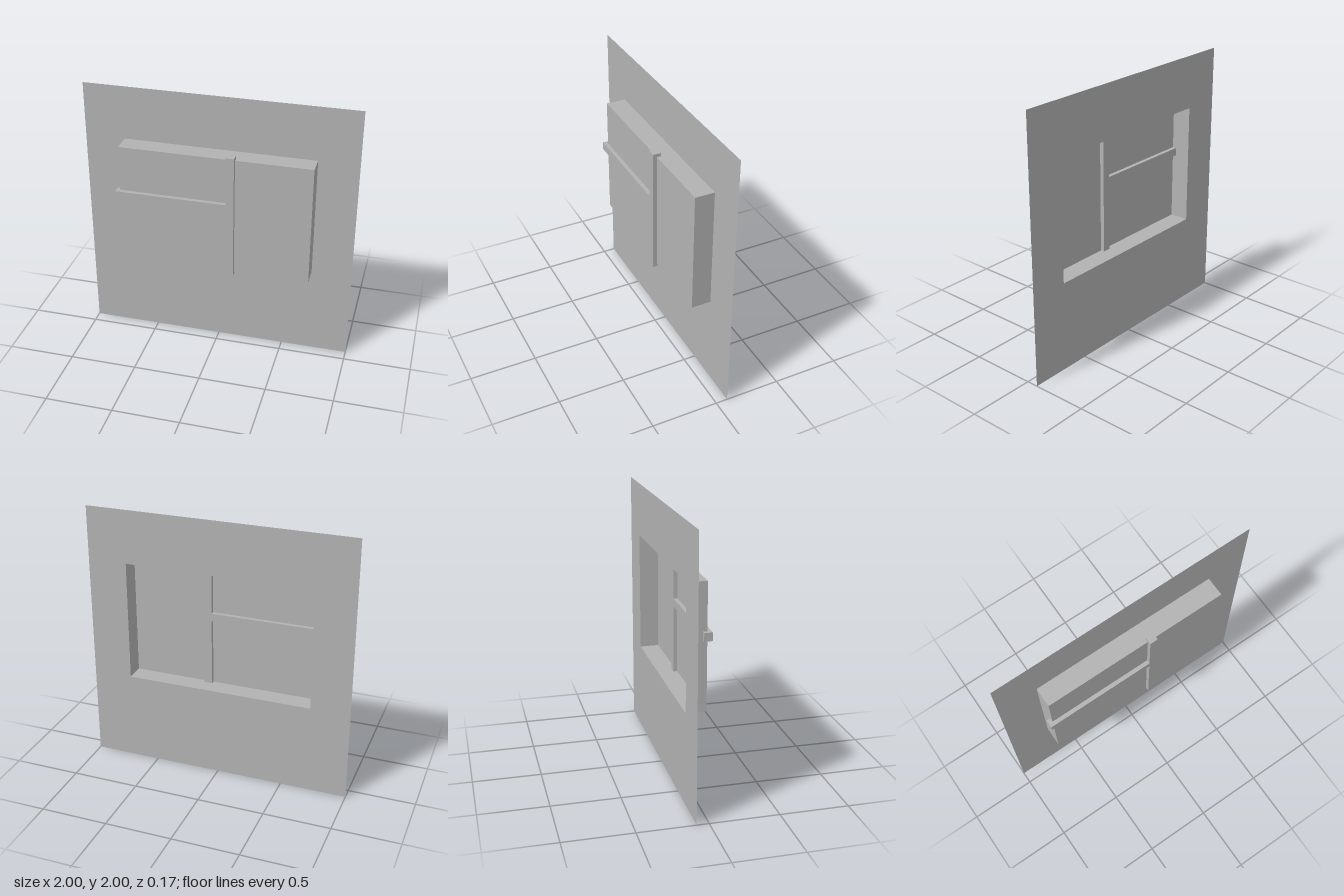
import * as THREE from 'three';

const BACK = -0.0875, PANE = 0.0575, BAR = 0.06;

// Closed shape from corner points
const polygon = (pts) => new THREE.Shape(pts.map(([x, y]) => new THREE.Vector2(x, y)));
const rect = (x0, y0, x1, y1) => [[x0, y0], [x1, y0], [x1, y1], [x0, y1]];

export function createModel() {
  const model = new THREE.Group();
  const grey = new THREE.MeshStandardMaterial({ color: 0xb2b2b2, side: THREE.DoubleSide });
  grey.name = 'plain grey';

  const add = (name, geometry, x, y, z) => {
    const mesh = new THREE.Mesh(geometry, grey);
    mesh.name = name;
    mesh.position.set(x, y, z);
    model.add(mesh);
  };

  // Window opening
  const x0 = -0.705, x1 = 0.705, y0 = 0.683, y1 = 1.596;

  // Thin wall sheet with the opening cut out
  const wall = polygon(rect(-1, 0, 1, 2));
  wall.holes.push(polygon(rect(x0, y0, x1, y1)));
  add('wall', new THREE.ShapeGeometry(wall), 0, 0, BACK);

  // Window box: reveals and pane, open at the back (last box face dropped)
  const box = new THREE.BoxGeometry(x1 - x0, y1 - y0, PANE - BACK);
  box.setIndex(Array.from(box.index.array).slice(0, 30));
  box.clearGroups();
  add('windowBox', box, 0, (y0 + y1) / 2, (PANE + BACK) / 2);

  // Glazing bars: one upright with a crossbar joining it, set through the pane
  const left = 0.09, right = left + BAR, low = 1.192, high = low + BAR;
  const bars = polygon([
    [left, 0.662], [right, 0.662], [right, 1.621], [left, 1.621],
    [left, high], [-0.735, high], [-0.735, low], [left, low],
  ]);
  add('glazingBars', new THREE.ExtrudeGeometry(bars, { depth: BAR, bevelEnabled: false }),
    0, 0, PANE - BAR / 2);

  return model;
}
